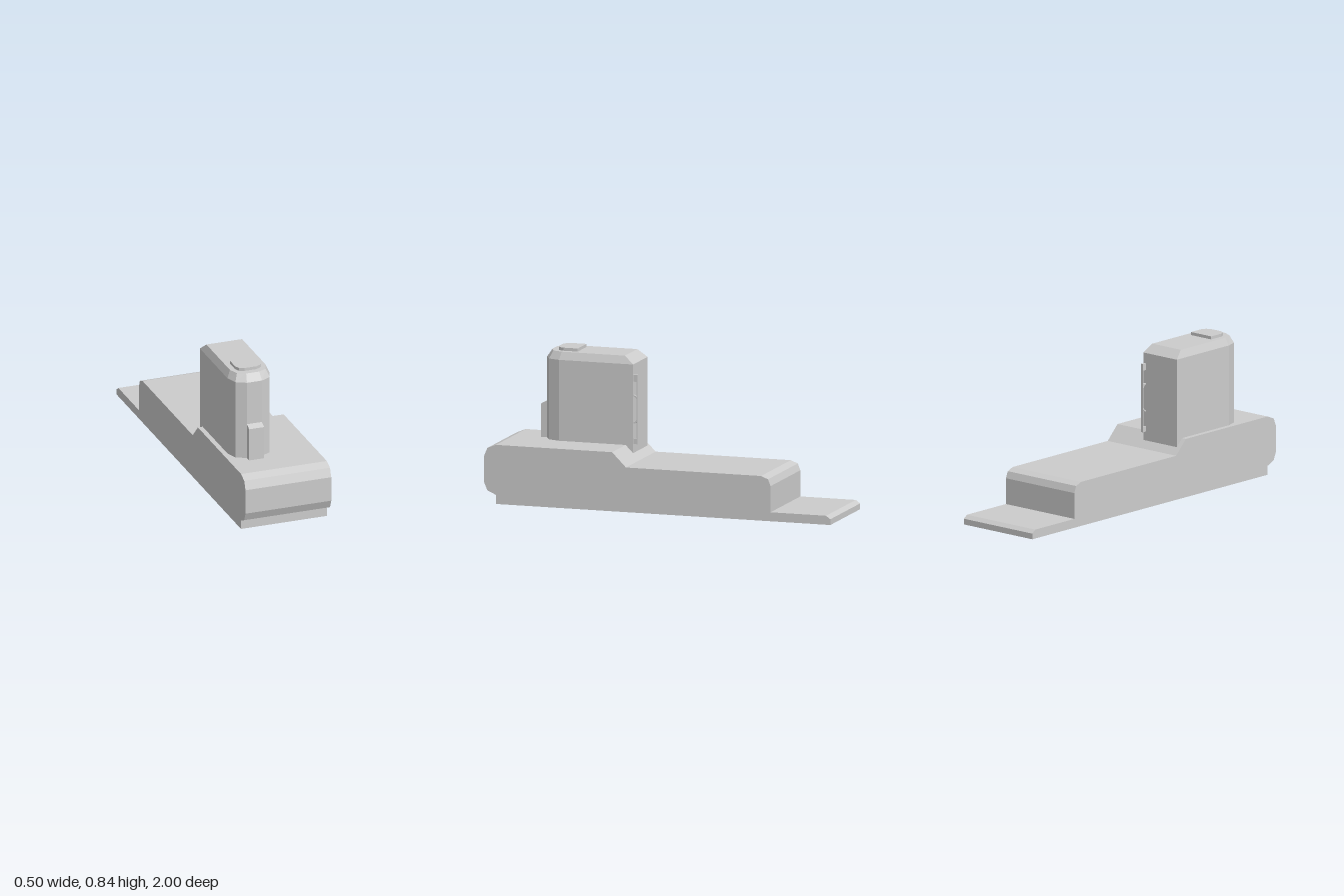
import * as THREE from 'three';

const grey = new THREE.MeshStandardMaterial({ color: 0xcccccc });
grey.name = 'plain grey';

function addMesh(parent, name, geometry) {
  const mesh = new THREE.Mesh(geometry, grey);
  mesh.name = name;
  parent.add(mesh);
  return mesh;
}

// Side profile given as [z, y] points, extruded across x from x0 to x1
const sidePoints = (pts) => pts.map(([z, y]) => new THREE.Vector2(-z, y));
function sideExtrude(pts, x0, x1, holes = []) {
  const shape = new THREE.Shape(sidePoints(pts));
  for (const hole of holes) shape.holes.push(new THREE.Path(sidePoints(hole)));
  const geo = new THREE.ExtrudeGeometry(shape, { depth: x1 - x0, bevelEnabled: false });
  return geo.rotateY(Math.PI / 2).translate(x0, 0, 0);
}

// Faceted solid from stacked rings of [x, z] points; rings run from the bottom up
function loft(rings) {
  const pos = [];
  const tri = (a, b, c) => pos.push(...a, ...b, ...c);
  const levels = rings.map(({ y, pts }) => pts.map(([x, z]) => [x, y, z]));
  const n = levels[0].length;
  for (let k = 0; k < levels.length - 1; k++) {
    const lo = levels[k], hi = levels[k + 1];
    for (let i = 0; i < n; i++) {
      const j = (i + 1) % n;
      tri(lo[i], lo[j], hi[j]);
      tri(lo[i], hi[j], hi[i]);
    }
  }
  const top = levels[levels.length - 1], bottom = levels[0];
  for (let i = 1; i < n - 1; i++) {
    tri(top[0], top[i], top[i + 1]);
    tri(bottom[0], bottom[i + 1], bottom[i]);
  }
  const geo = new THREE.BufferGeometry();
  geo.setAttribute('position', new THREE.Float32BufferAttribute(pos, 3));
  geo.computeVertexNormals();
  return geo;
}

// Outline symmetric about x = -0.1, from half points [half width, z] listed back to front
function outline(half) {
  const left = half.map(([w, z]) => [-0.1 - w, z]);
  const right = half.map(([w, z]) => [-0.1 + w, z]).reverse();
  return [...left, ...right];
}

export function createModel() {
  const model = new THREE.Group();
  model.name = 'steppedBlockWithTower';

  // Long stepped base with a recessed panel pair on its left flank
  const base = new THREE.Group();
  base.name = 'base';
  model.add(base);
  const profile = [
    [0.93, 0], [0.93, 0.05], [0.98, 0.073], [1, 0.12], [1, 0.26], [0.98, 0.308], [0.93, 0.328],
    [0.26, 0.328], [0.18, 0.248], [-0.6, 0.248], [-0.64, 0.232], [-0.655, 0.195],
    [-0.655, 0.05], [-0.975, 0.05], [-1, 0.032], [-1, 0],
  ];
  const frontPanel = [
    [0.295, 0.072], [0.925, 0.072], [0.965, 0.09], [0.978, 0.13], [0.978, 0.255],
    [0.962, 0.293], [0.925, 0.308], [0.295, 0.308],
  ];
  const rearPanel = [
    [0.16, 0.072], [0.16, 0.227], [-0.595, 0.227], [-0.624, 0.215], [-0.635, 0.185], [-0.635, 0.072],
  ];
  addMesh(base, 'baseCore', sideExtrude(profile, -0.25, 0.225));
  addMesh(base, 'recessFrame', sideExtrude(profile, 0.225, 0.25, [frontPanel, rearPanel]));

  // Tower with a faceted front and a bevelled top
  const tower = new THREE.Group();
  tower.name = 'tower';
  model.add(tower);
  const wall = outline([[0.122, 0.217], [0.122, 0.645], [0.1, 0.71], [0.044, 0.74]]);
  const roof = outline([[0.104, 0.27], [0.104, 0.635], [0.084, 0.69], [0.038, 0.712]]);
  addMesh(tower, 'towerBody', loft([
    { y: 0.2, pts: wall }, { y: 0.777, pts: wall }, { y: 0.82, pts: roof },
  ]));

  // Small rounded cap on the roof
  const cap = outline([[0.074, 0.553], [0.074, 0.635], [0.062, 0.663], [0.034, 0.676]]);
  addMesh(tower, 'roofCap', loft([{ y: 0.815, pts: cap }, { y: 0.837, pts: cap }]));

  // Upright block with a sloping top on the tower front
  addMesh(tower, 'frontBlock', sideExtrude(
    [[0.73, 0.32], [0.775, 0.32], [0.775, 0.514], [0.74, 0.53], [0.73, 0.53]], -0.144, -0.057));

  // Thin rail on the tower back, held by end blocks and tapered brackets
  const rail = new THREE.Group();
  rail.name = 'backRail';
  tower.add(rail);
  const x0 = 0.004, x1 = 0.017;
  addMesh(rail, 'railBar', new THREE.BoxGeometry(x1 - x0, 0.385, 0.006)
    .translate((x0 + x1) / 2, 0.527, 0.195));
  for (const [y, h] of [[0.7, 0.038], [0.35, 0.03]]) {
    addMesh(rail, 'railEnd', new THREE.BoxGeometry(x1 - x0, h, 0.028)
      .translate((x0 + x1) / 2, y, 0.207));
  }
  for (const [y, s] of [[0.6, 1], [0.455, -1]]) {
    const bracket = [[0.22, y], [0.22, y + 0.008 * s], [0.205, y + 0.004 * s],
      [0.195, y - 0.012 * s], [0.195, y - 0.022 * s], [0.207, y - 0.004 * s]];
    addMesh(rail, 'railBracket', sideExtrude(bracket, x0, x1));
  }

  return model;
}
